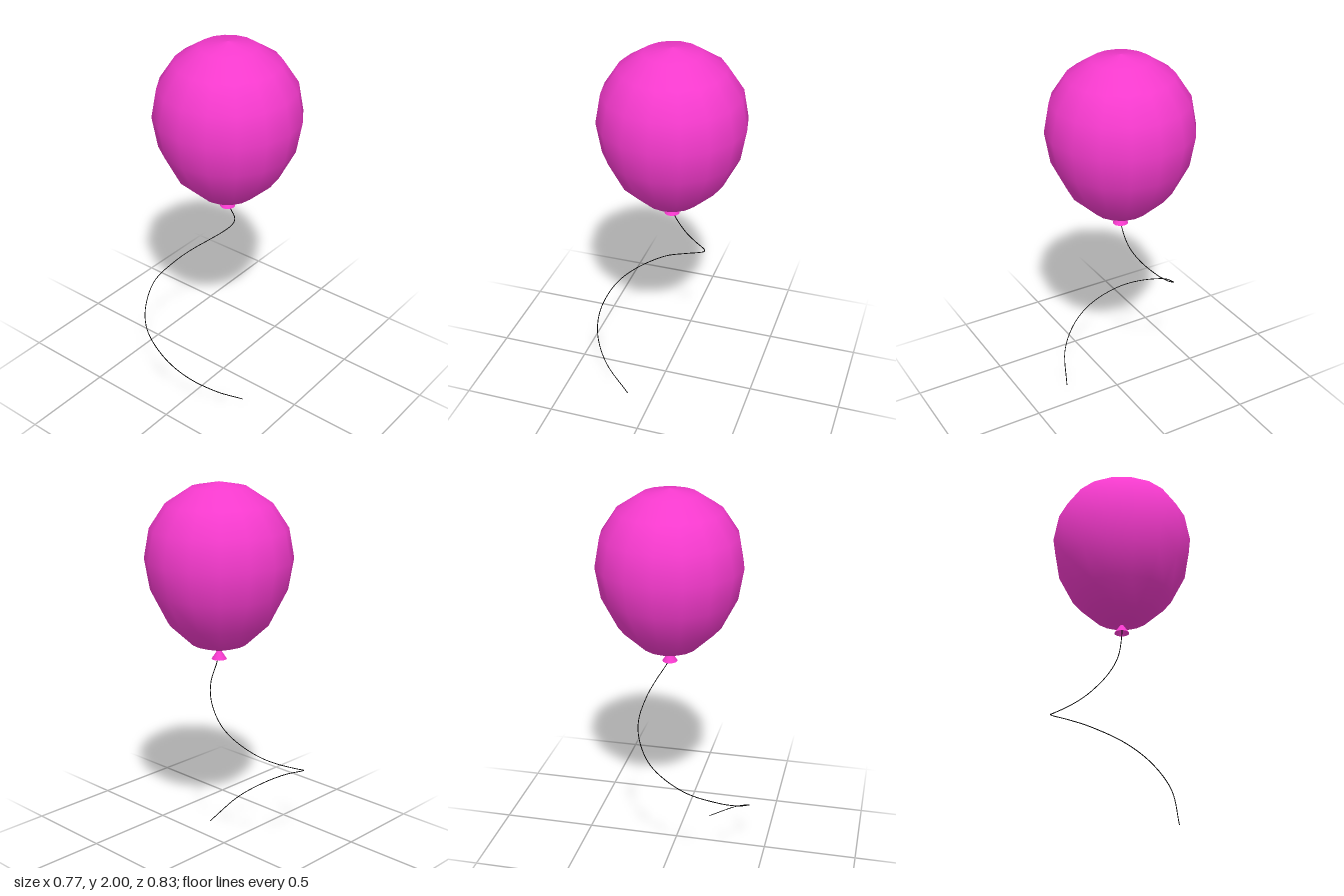
import * as THREE from 'three';

const CENTER_Z = -0.035;

export function createModel() {
  const model = new THREE.Group();
  model.name = 'balloon';
  const pink = new THREE.MeshStandardMaterial({ color: 0xf53acd, side: THREE.DoubleSide });
  const black = new THREE.MeshStandardMaterial({ color: 0x000000 });

  const add = (name, geometry, material) => {
    const mesh = new THREE.Mesh(geometry, material);
    mesh.name = name;
    model.add(mesh);
    return mesh;
  };

  // Envelope: egg-shaped, 16 sides, tapering to the knot (radius, height)
  const profile = [
    [0, 1.12], [0.146, 1.168], [0.27, 1.285], [0.353, 1.449], [0.381, 1.613],
    [0.353, 1.767], [0.27, 1.892], [0.146, 1.972], [0, 2],
  ].map(([r, y]) => new THREE.Vector2(r, y));
  add('envelope', new THREE.LatheGeometry(profile, 16), pink).position.z = CENTER_Z;

  // Knot: small open cone under the envelope
  const knot = add('knot', new THREE.ConeGeometry(0.04, 0.06, 16, 1, true), pink);
  knot.position.set(0, 1.11, CENTER_Z);

  // String: thin tube coiling down from the knot
  const path = new THREE.CatmullRomCurve3([
    [0, 1.13, CENTER_Z], [0.002, 1.07, -0.047], [-0.008, 0.97, -0.105],
    [-0.053, 0.887, -0.148], [-0.14, 0.79, -0.172], [-0.216, 0.72, -0.153],
    [-0.308, 0.64, -0.085], [-0.358, 0.585, 0], [-0.384, 0.52, 0.137],
    [-0.315, 0.44, 0.296], [-0.222, 0.38, 0.378], [-0.07, 0.3, 0.415],
    [0.06, 0.22, 0.387], [0.175, 0.125, 0.296], [0.248, 0.002, 0.143],
  ].map((p) => new THREE.Vector3(...p)));
  add('string', new THREE.TubeGeometry(path, 80, 0.0023, 6), black);

  return model;
}
